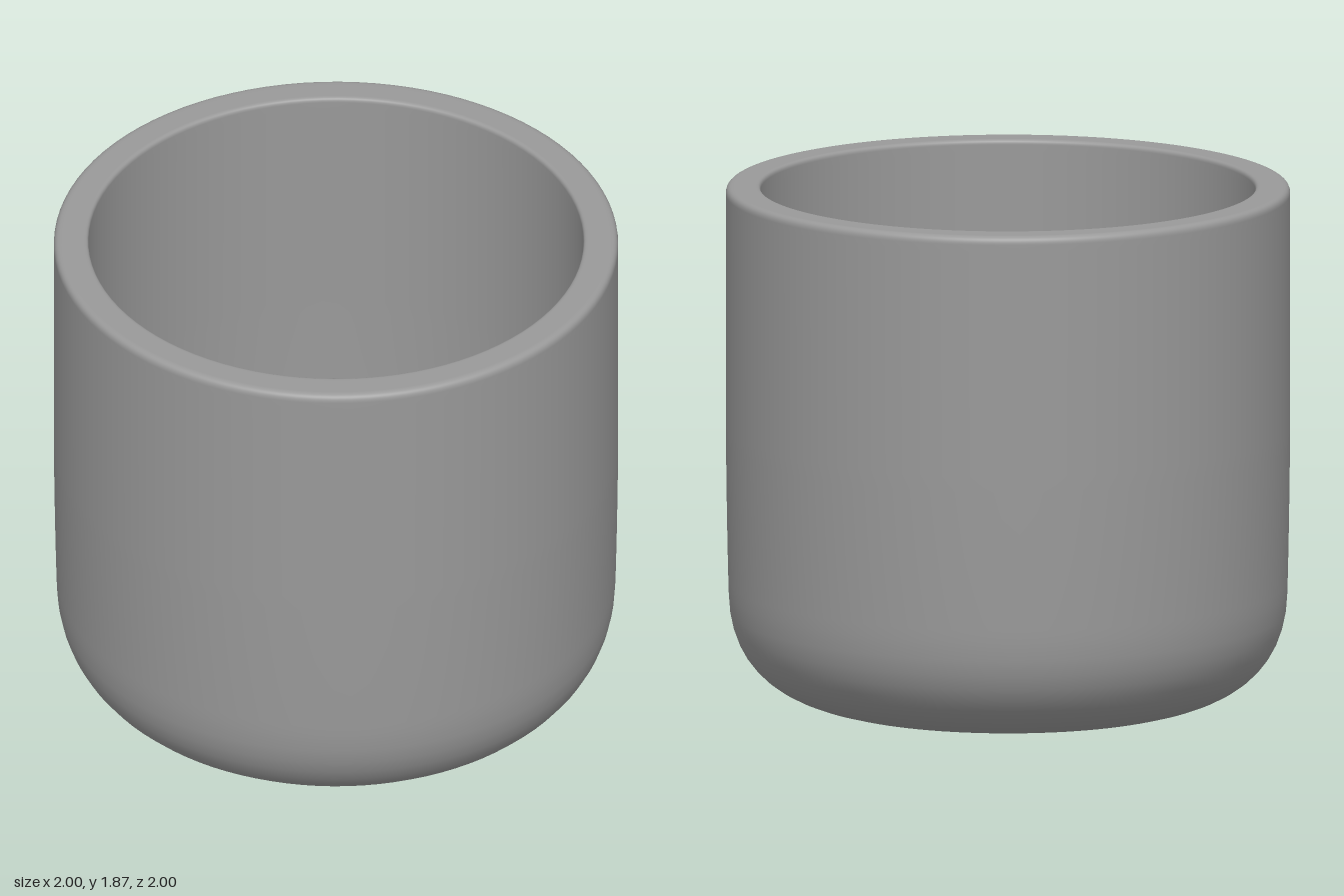
import * as THREE from 'three';

export function createModel() {
  const group = new THREE.Group();
  group.name = 'cup';
  const grey = new THREE.MeshStandardMaterial({ color: 0x999999 });
  grey.name = 'grey';

  // Wall cross-section: underside, outer wall, rim, inner wall, inner floor
  const profile = new THREE.Path();
  profile.moveTo(0, 0);
  profile.lineTo(0.54, 0);
  profile.lineTo(0.57, 0);
  profile.bezierCurveTo(0.79, 0.015, 0.985, 0.12, 0.99, 0.4);
  profile.quadraticCurveTo(0.997, 0.65, 1, 1);
  profile.lineTo(1, 1.81);
  profile.lineTo(1, 1.835);
  profile.quadraticCurveTo(1, 1.865, 0.97, 1.865);
  profile.lineTo(0.95, 1.865);
  profile.lineTo(0.91, 1.865);
  profile.lineTo(0.895, 1.865);
  profile.quadraticCurveTo(0.877, 1.865, 0.877, 1.847);
  profile.lineTo(0.877, 1.82);
  profile.lineTo(0.877, 1);
  profile.quadraticCurveTo(0.876, 0.7, 0.872, 0.5);
  profile.bezierCurveTo(0.865, 0.24, 0.74, 0.135, 0.55, 0.12);
  profile.lineTo(0.52, 0.12);
  profile.lineTo(0, 0.12);

  const body = new THREE.Mesh(new THREE.LatheGeometry(profile.getPoints(12), 96), grey);
  body.name = 'cupBody';
  group.add(body);
  return group;
}
